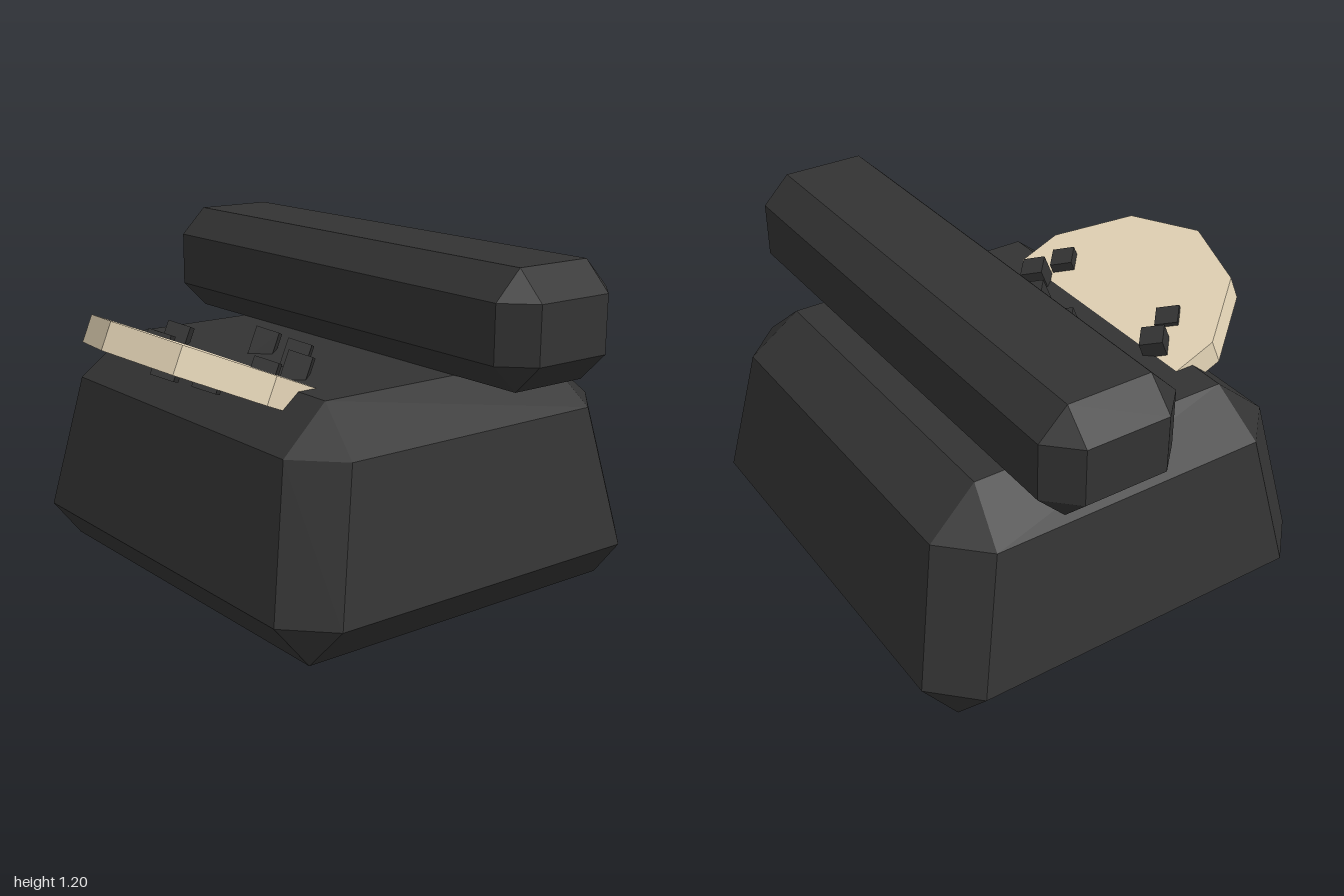
import * as THREE from 'three';
import { ConvexGeometry } from 'three/addons/geometries/ConvexGeometry.js';

const TILT = -0.4;

// Convex solid from corner points mirrored over x and z
function mirroredHull(corners) {
  const points = [];
  for (const [x, y, z] of corners)
    for (const sx of [-1, 1])
      for (const sz of [-1, 1]) points.push(new THREE.Vector3(sx * x, y, sz * z));
  return new ConvexGeometry(points);
}

export function createModel() {
  const model = new THREE.Group();
  model.name = 'telephone';
  const black = new THREE.MeshStandardMaterial({ color: 0x333333, flatShading: true });
  const cream = new THREE.MeshStandardMaterial({ color: 0xe6d6b8, flatShading: true });

  const add = (name, geometry, material, x, y, z, parent = model) => {
    const mesh = new THREE.Mesh(geometry, material);
    mesh.name = name;
    mesh.position.set(x, y, z);
    parent.add(mesh);
    return mesh;
  };

  // Tapered body with chamfered edges and corners
  const body = mirroredHull([
    [0.745, 0, 0.65],
    [0.725, 0.15, 0.77], [0.875, 0.15, 0.62],
    [0.64, 0.65, 0.67], [0.79, 0.65, 0.52],
    [0.615, 0.8, 0.49],
  ]);
  add('body', body, black, 0, 0, -0.08);

  // Chamfered bar resting across the body
  const handset = mirroredHull([-1, 1].flatMap((s) => [
    [1, s * 0.1, 0.15], [0.9, s * 0.2, 0.15], [0.9, s * 0.1, 0.25],
  ]));
  add('handset', handset, black, 0, 1, -0.28);

  // Ten-sided dial, tilted up at the front
  add('dial', new THREE.CylinderGeometry(0.5, 0.5, 0.1, 10), cream, 0, 0.759, 0.37)
    .rotation.x = TILT;

  // Eight four-sided finger holes, with a gap in the ring
  const holes = new THREE.Group();
  holes.name = 'fingerHoles';
  holes.position.set(0, 0.817, 0.363);
  model.add(holes);
  const holeGeometry = new THREE.CylinderGeometry(0.06, 0.06, 0.12, 4);
  for (let i = 0; i < 8; i++) {
    const a = THREE.MathUtils.degToRad(-10 + i * 40);
    add('fingerHole', holeGeometry, black, 0.33 * Math.sin(a), 0, -0.2 * Math.cos(a), holes)
      .rotation.x = TILT;
  }
  return model;
}
